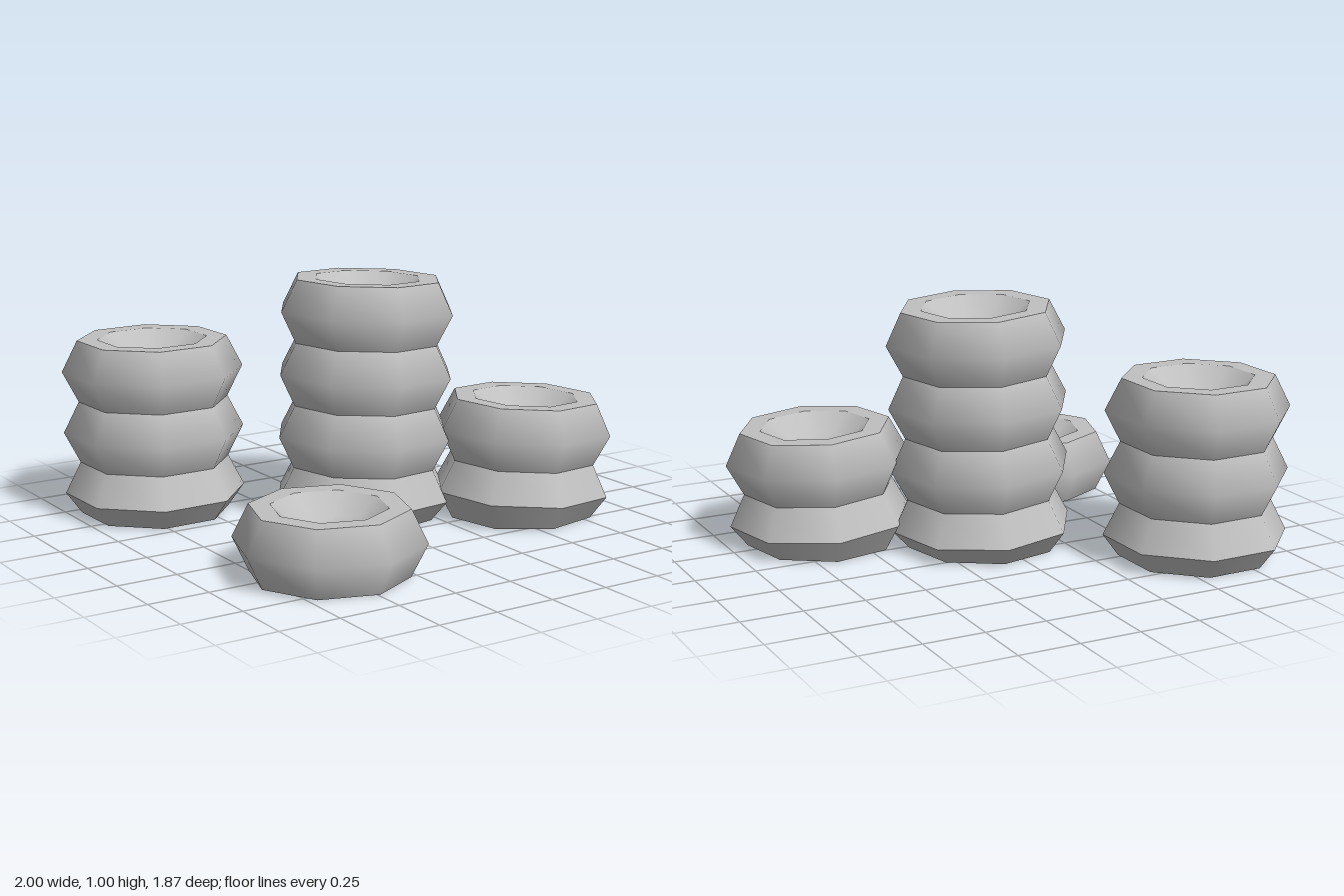
import * as THREE from 'three';

const SIDES = 8;
const R_MID = 0.374;   // widest ring of a tyre
const R_EDGE = 0.309;  // upper and lower edge ring
const R_HOLE = 0.226;  // opening in the top face

// x, z: ground centre; turn: angle of the octagon; waists: heights of the upper edges;
// tiltX, tiltZ: lean of the stack
const STACKS = [
  { name: 'backRightStack', x: -0.655, z: -0.592, turn: 23.8, tiltX: 0, tiltZ: 0, waists: [0.218, 0.475, 0.732] },
  { name: 'middleStack', x: 0.038, z: -0.069, turn: 35, tiltX: -0.01, tiltZ: -0.034, waists: [0.214, 0.472, 0.731, 0.99] },
  { name: 'leftStack', x: 0.613, z: 0.258, turn: 34.4, tiltX: 0, tiltZ: -0.042, waists: [0.23, 0.488] },
  { name: 'singleTyre', x: -0.515, z: 0.557, turn: 4.5, tiltX: 0, tiltZ: 0, waists: [0.265] },
];

export function createModel() {
  const rubber = new THREE.MeshStandardMaterial({ color: 0xc0c0c0, side: THREE.DoubleSide });
  rubber.name = 'grey rubber';
  const model = new THREE.Group();
  model.name = 'tyreStacks';

  for (const s of STACKS) {
    const stack = new THREE.Group();
    stack.name = s.name;
    stack.position.set(s.x, 0, s.z);
    const lean = new THREE.Matrix4().makeRotationFromEuler(new THREE.Euler(s.tiltX, 0, s.tiltZ));

    // One smooth octagonal band; rings at height 0 stay flat on the ground
    const band = (name, profile) => {
      const pts = profile.map(([r, y]) => new THREE.Vector2(r, y));
      const geo = new THREE.LatheGeometry(pts, SIDES, THREE.MathUtils.degToRad(s.turn));
      const pos = geo.attributes.position;
      const grounded = Array.from({ length: pos.count }, (_, i) => pos.getY(i) === 0);
      geo.applyMatrix4(lean);
      grounded.forEach((g, i) => { if (g) pos.setY(i, 0); });
      const mesh = new THREE.Mesh(geo, rubber);
      mesh.name = name;
      stack.add(mesh);
    };

    // Bottom tyre: a stack's lowest tyre is sunk and has a sharp middle edge
    const first = s.waists[0];
    if (s.waists.length === 1) {
      band('tread', [[R_EDGE, 0], [R_MID, first / 2], [R_EDGE, first]]);
    } else {
      const mid = first - 0.129;
      band('lowerTread', [[R_EDGE, 0], [R_MID, mid]]);
      band('bottomTread', [[R_MID, mid], [R_EDGE, first]]);
    }

    // Tyres above
    for (let i = 1; i < s.waists.length; i++) {
      const a = s.waists[i - 1], b = s.waists[i];
      band('tread', [[R_EDGE, a], [R_MID, (a + b) / 2], [R_EDGE, b]]);
    }

    // Flat top ring and the dished centre
    const top = s.waists[s.waists.length - 1];
    band('topRing', [[R_EDGE, top], [R_HOLE, top]]);
    band('dish', [[R_HOLE, top], [0.13, top - 0.07], [0, top - 0.1]]);
    model.add(stack);
  }
  return model;
}
